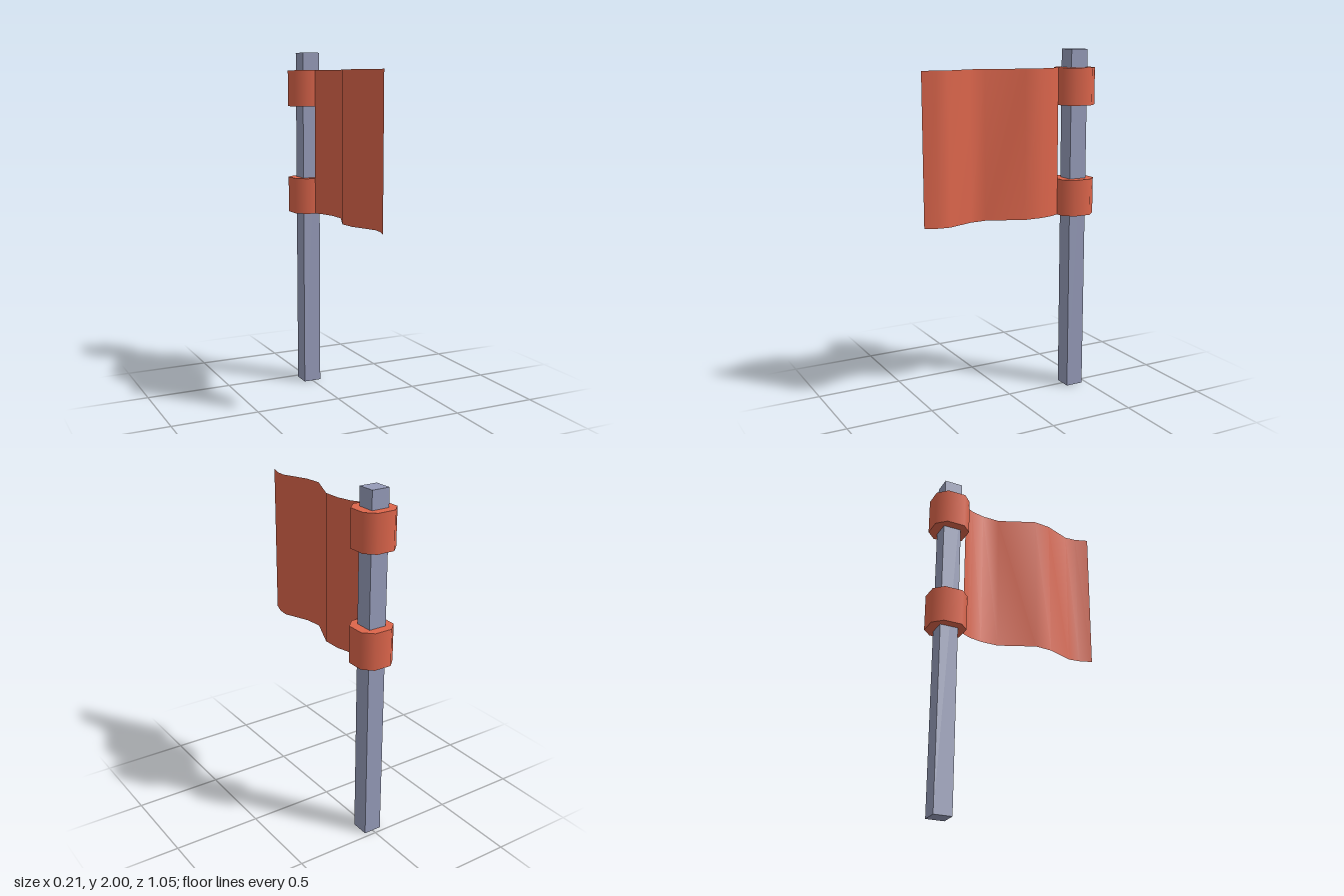
import * as THREE from 'three';

const POLE_Z = -0.42;

// Octagonal sleeve with chamfered corners that wraps the pole
function sleeveGeometry() {
  const geo = new THREE.CylinderGeometry(0.1137, 0.1137, 0.21, 8, 1, false, Math.PI / 8);
  const pos = geo.attributes.position;
  const snap = (v) => (Math.abs(v) < 0.01 ? 0 : Math.sign(v) * (Math.abs(v) > 0.07 ? 0.105 : 0.0525));
  for (let i = 0; i < pos.count; i++) {
    pos.setX(i, snap(pos.getX(i)));
    pos.setZ(i, snap(pos.getZ(i)));
  }
  return geo;
}

// Waving sheet: a plane whose columns follow a [z, x] profile
function clothGeometry(bottom, top) {
  const profile = [
    [-0.315, 0], [-0.26, 0.03], [-0.18, 0.05], [-0.075, 0.052], [0.13, -0.037],
    [0.23, -0.028], [0.385, 0.033], [0.45, 0.028], [0.525, 0.003],
  ];
  const geo = new THREE.PlaneGeometry(1, 1, profile.length - 1, 1);
  const pos = geo.attributes.position;
  for (let i = 0; i < pos.count; i++) {
    // reversed so that the front of the sheet faces +x
    const [z, x] = profile[profile.length - 1 - (i % profile.length)];
    pos.setXYZ(i, x, pos.getY(i) > 0 ? top : bottom, z);
  }
  geo.computeVertexNormals();
  return geo;
}

export function createModel() {
  const group = new THREE.Group();
  group.name = 'flag';

  const poleGrey = new THREE.MeshStandardMaterial({ color: 0x949ab7 });
  poleGrey.name = 'poleGrey';
  const clothRed = new THREE.MeshStandardMaterial({ color: 0xdc654b, side: THREE.DoubleSide });
  clothRed.name = 'clothRed';

  const add = (name, geo, mat, y, z) => {
    const mesh = new THREE.Mesh(geo, mat);
    mesh.name = name;
    mesh.position.set(0, y, z);
    group.add(mesh);
  };

  // Square pole
  add('pole', new THREE.BoxGeometry(0.105, 2, 0.105), poleGrey, 1, POLE_Z);

  // Two sleeves holding the cloth
  const sleeve = sleeveGeometry();
  add('upperSleeve', sleeve, clothRed, 1.793, POLE_Z);
  add('lowerSleeve', sleeve, clothRed, 1.16, POLE_Z);

  // Waving cloth
  add('cloth', clothGeometry(1.055, 1.898), clothRed, 0, 0);

  return group;
}
